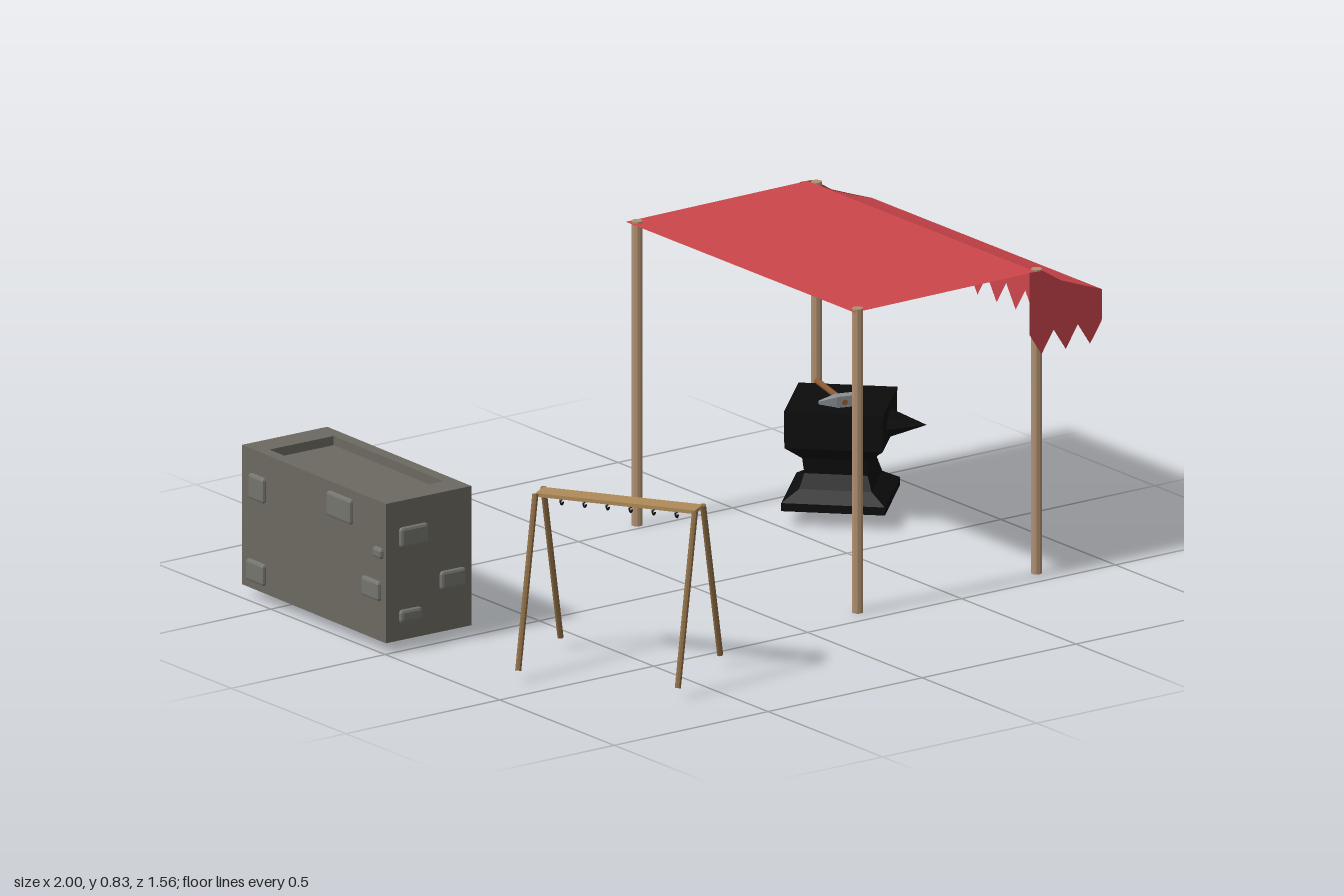
import * as THREE from 'three';
import { RoundedBoxGeometry } from 'three/addons/geometries/RoundedBoxGeometry.js';

const mat = (color, double) => new THREE.MeshStandardMaterial({
  color, flatShading: true, side: double ? THREE.DoubleSide : THREE.FrontSide });
const M = {
  cloth: mat(0xcc454b, true), post: mat(0xb09070), plank: mat(0xb08a58), leg: mat(0x8a6a42),
  stone: mat(0x6b6960), block: mat(0x74746e), dark: mat(0x33322f), iron: mat(0x0c0c0c),
  steel: mat(0x8c9092), handle: mat(0x8a5a35), log: mat(0x7d4d2a), leather: mat(0x7a2424, true),
};

function add(parent, name, geo, material, x = 0, y = 0, z = 0) {
  const mesh = new THREE.Mesh(geo, material);
  mesh.name = name;
  mesh.position.set(x, y, z);
  parent.add(mesh);
  return mesh;
}
function group(parent, name, x = 0, y = 0, z = 0) {
  const g = new THREE.Group();
  g.name = name;
  g.position.set(x, y, z);
  parent.add(g);
  return g;
}
// Round bar between two points
function rod(parent, name, a, b, r, material, sides = 8) {
  const d = b.clone().sub(a);
  const m = add(parent, name, new THREE.CylinderGeometry(r, r, d.length(), sides), material);
  m.position.copy(a).add(b).multiplyScalar(0.5);
  m.quaternion.setFromUnitVectors(new THREE.Vector3(0, 1, 0), d.normalize());
  return m;
}
const V = (x, y, z) => new THREE.Vector3(x, y, z);
// Cloth strip: top outline from left to right, toothed lower edge
function toothed(top, teeth, valley, tip) {
  const x0 = top[0][0], x1 = top[top.length - 1][0], p = (x1 - x0) / teeth;
  const pts = top.map(([x, y]) => new THREE.Vector2(x, y));
  for (let i = teeth; i > 0; i--) {
    pts.push(new THREE.Vector2(x0 + i * p, valley), new THREE.Vector2(x0 + (i - 0.5) * p, tip));
  }
  pts.push(new THREE.Vector2(x0, valley));
  return new THREE.ShapeGeometry(new THREE.Shape(pts));
}

function buildCanopy(root) {
  const g = group(root, 'canopy');
  for (const x of [0.211, 0.793]) for (const z of [0.434, -0.528]) {
    add(g, 'post', new THREE.CylinderGeometry(0.015, 0.015, 0.83, 10), M.post, x, 0.415, z);
  }
  // Flat roof with a sagging front slope
  const profile = [[0.19, 0.825], [0.78, 0.828], [0.86, 0.788], [0.93, 0.762], [0.992, 0.742]];
  for (let i = 0; i < profile.length - 1; i++) {
    const [a, b] = [profile[i], profile[i + 1]];
    const dx = b[0] - a[0], dy = b[1] - a[1];
    const geo = new THREE.PlaneGeometry(Math.hypot(dx, dy), 1).rotateX(-Math.PI / 2).rotateZ(Math.atan2(dy, dx));
    add(g, 'roofCloth', geo, M.cloth, (a[0] + b[0]) / 2, (a[1] + b[1]) / 2, -0.05);
  }
  // Toothed valances on the long edge and both short edges
  add(g, 'frontValance', toothed([[-0.45, 0.742], [0.55, 0.742]], 12, 0.655, 0.592).rotateY(Math.PI / 2), M.cloth, 0.992);
  const side = toothed([[0.757, 0.829], [0.8, 0.827], [0.86, 0.79], [0.93, 0.764], [0.993, 0.742]], 3, 0.66, 0.6);
  for (const z of [0.451, -0.551]) add(g, 'sideValance', side, M.cloth, 0, 0, z);
}

function buildAnvil(root) {
  const g = group(root, 'anvil', 0.7, 0, -0.297);
  // Four-sided stepped body
  const body = [[0, 0.04], [0.193, 0.04], [0.193, 0.062], [0.135, 0.09], [0.118, 0.13], [0.125, 0.172],
    [0.183, 0.21], [0.184, 0.31], [0, 0.31]].map(([r, y]) => new THREE.Vector2(r, y));
  add(g, 'anvilBody', new THREE.LatheGeometry(body, 4), M.iron);
  const horn = new THREE.ConeGeometry(0.075, 0.12, 8).rotateX(Math.PI / 2).scale(1, 0.6, 1).rotateY(Math.PI / 4);
  add(g, 'anvilHorn', horn, M.iron, 0.118, 0.25, 0.118);

  const h = group(root, 'hammer', 0.655, 0.325, -0.252);
  h.rotation.y = -0.3;
  add(h, 'hammerHead', new THREE.BoxGeometry(0.06, 0.03, 0.03), M.steel, 0.025);
  const peen = new THREE.CylinderGeometry(0.006, 0.02, 0.045, 4).rotateY(Math.PI / 4).rotateZ(Math.PI / 2);
  add(h, 'hammerPeen', peen, M.steel, -0.027);
  rod(h, 'hammerHandle', V(0.015, 0, 0.02), V(0.015, -0.005, -0.2), 0.008, M.handle);
}

function buildFurnace(root) {
  const g = group(root, 'furnace', -0.855, 0, -0.32);
  g.rotation.y = -0.017;
  const W = 0.137, L = 0.322;
  const extrude = (s, depth) => new THREE.ExtrudeGeometry(s, { depth, bevelEnabled: false, curveSegments: 8 });
  // Front half with arched mouth
  const wall = new THREE.Shape();
  wall.moveTo(-L, 0.03);
  wall.lineTo(-0.165, 0.03);
  wall.lineTo(-0.165, 0.13);
  wall.bezierCurveTo(-0.15, 0.29, 0.15, 0.29, 0.165, 0.13);
  wall.lineTo(0.165, 0.03);
  wall.lineTo(L, 0.03);
  wall.lineTo(L, 0.385);
  wall.lineTo(-L, 0.385);
  add(g, 'furnaceFront', extrude(wall, 0.21).rotateY(Math.PI / 2), M.stone, W - 0.21);
  add(g, 'furnaceBack', new THREE.BoxGeometry(2 * W - 0.21, 0.355, 2 * L), M.stone, -0.105, 0.2075, 0);
  add(g, 'furnaceFloor', new THREE.BoxGeometry(0.22, 0.008, 0.33), M.dark, 0.025, 0.034, 0);
  // Raised rim around the sunken top
  const rect = (P, w, l) => new P([[-w, -l], [w, -l], [w, l], [-w, l]].map(p => new THREE.Vector2(...p)));
  const rim = rect(THREE.Shape, W, L);
  rim.holes.push(rect(THREE.Path, 0.103, 0.246));
  add(g, 'furnaceRim', extrude(rim, 0.025).rotateX(-Math.PI / 2), M.stone, 0, 0.385, 0);

  // Proud stones: [along face, y, width, height]
  const stones = {
    long: [[0.26, 0.165, 0.08, 0.055], [0.12, 0.35, 0.11, 0.07], [-0.25, 0.31, 0.07, 0.07],
      [-0.255, 0.08, 0.08, 0.06], [0.29, 0.27, 0.04, 0.03]],
    short: [[-0.05, 0.31, 0.09, 0.055], [0.075, 0.17, 0.08, 0.05], [-0.06, 0.095, 0.07, 0.035]],
  };
  for (const s of [1, -1]) {
    for (const [z, y, w, h] of stones.long) add(g, 'stone', new RoundedBoxGeometry(0.02, h, w, 1, 0.008), M.block, s * W, y, z);
    for (const [x, y, w, h] of stones.short) add(g, 'stone', new RoundedBoxGeometry(w, h, 0.02, 1, 0.008), M.block, x, y, s * L);
  }
  // Firewood in the mouth
  rod(g, 'log', V(-0.06, 0.075, -0.115), V(0.13, 0.068, -0.11), 0.038, M.log, 10);
  rod(g, 'log', V(-0.06, 0.075, 0.03), V(0.145, 0.075, 0.0), 0.036, M.log, 10);
  rod(g, 'log', V(-0.06, 0.08, 0.12), V(0.125, 0.085, 0.115), 0.035, M.log, 10);
  rod(g, 'log', V(-0.05, 0.13, -0.08), V(0.14, 0.14, -0.04), 0.034, M.log, 10);
}

function buildBellows(root) {
  const g = group(root, 'bellows', -0.787, 0.022, -0.772);
  g.rotation.x = 0.27;
  const R = 0.212, A = 0.24;
  const shape = new THREE.Shape([[-0.012, 0], [0.012, 0], [0.08, R], [-0.08, R]].map(p => new THREE.Vector2(...p)));
  const board = new THREE.ExtrudeGeometry(shape, { depth: 0.008, bevelEnabled: false }).translate(0, 0, -0.004);
  for (const s of [1, -1]) {
    add(g, 'bellowsBoard', board, M.log).rotation.x = s * A;
    add(g, 'bellowsHandle', new THREE.BoxGeometry(0.032, 0.15, 0.008), M.log, 0, R * Math.cos(A) + 0.065, s * R * Math.sin(A));
  }
  // Pleated leather fanned between the boards
  const pos = [], n = 6;
  const ring = Array.from({ length: n + 1 }, (_, i) => {
    const a = A * (1 - 2 * i / n), w = i % 2 ? 0.045 : 0.074;
    return [-w, w].map(x => [x, R * 0.98 * Math.cos(a), R * 0.98 * Math.sin(a)]);
  });
  for (let i = 0; i < n; i++) {
    const [a, b] = ring[i], [c, d] = ring[i + 1], tip = [0, 0, 0];
    for (const t of [[tip, c, a], [tip, b, d], [a, c, b], [b, c, d]]) pos.push(...t.flat());
  }
  const geo = new THREE.BufferGeometry();
  geo.setAttribute('position', new THREE.Float32BufferAttribute(pos, 3));
  geo.computeVertexNormals();
  add(g, 'bellowsLeather', geo, M.leather);
  add(g, 'bellowsNozzle', new THREE.CylinderGeometry(0.012, 0.007, 0.03, 8), M.dark, 0, 0.01, 0);
}

function buildRack(root) {
  // Local z runs along the plank
  const g = group(root, 'toolRack', -0.615, 0, 0.504);
  g.rotation.y = Math.atan2(0.241, 0.372);
  const half = 0.222;
  add(g, 'rackPlank', new THREE.BoxGeometry(0.058, 0.01, 2 * half), M.plank, 0, 0.474, 0);
  for (const z of [half, -half]) for (const s of [1, -1]) {
    rod(g, 'rackLeg', V(s * 0.03, 0.477, z), V(s * 0.158, 0.032, z), 0.0085, M.leg);
  }
  // Hooks under the plank
  for (let i = 0; i < 6; i++) {
    const z = -0.16 + i * 0.064;
    rod(g, 'hookStem', V(0, 0.472, z), V(0, 0.458, z), 0.003, M.iron, 6);
    const hook = new THREE.TorusGeometry(0.007, 0.0028, 5, 8, Math.PI * 1.3).rotateZ(Math.PI * 0.9).rotateY(Math.PI / 4);
    add(g, 'hook', hook, M.iron, 0, 0.453, z);
  }
}

export function createModel() {
  const root = new THREE.Group();
  root.name = 'smithy';
  buildCanopy(root);
  buildAnvil(root);
  buildFurnace(root);
  buildBellows(root);
  buildRack(root);
  return root;
}
